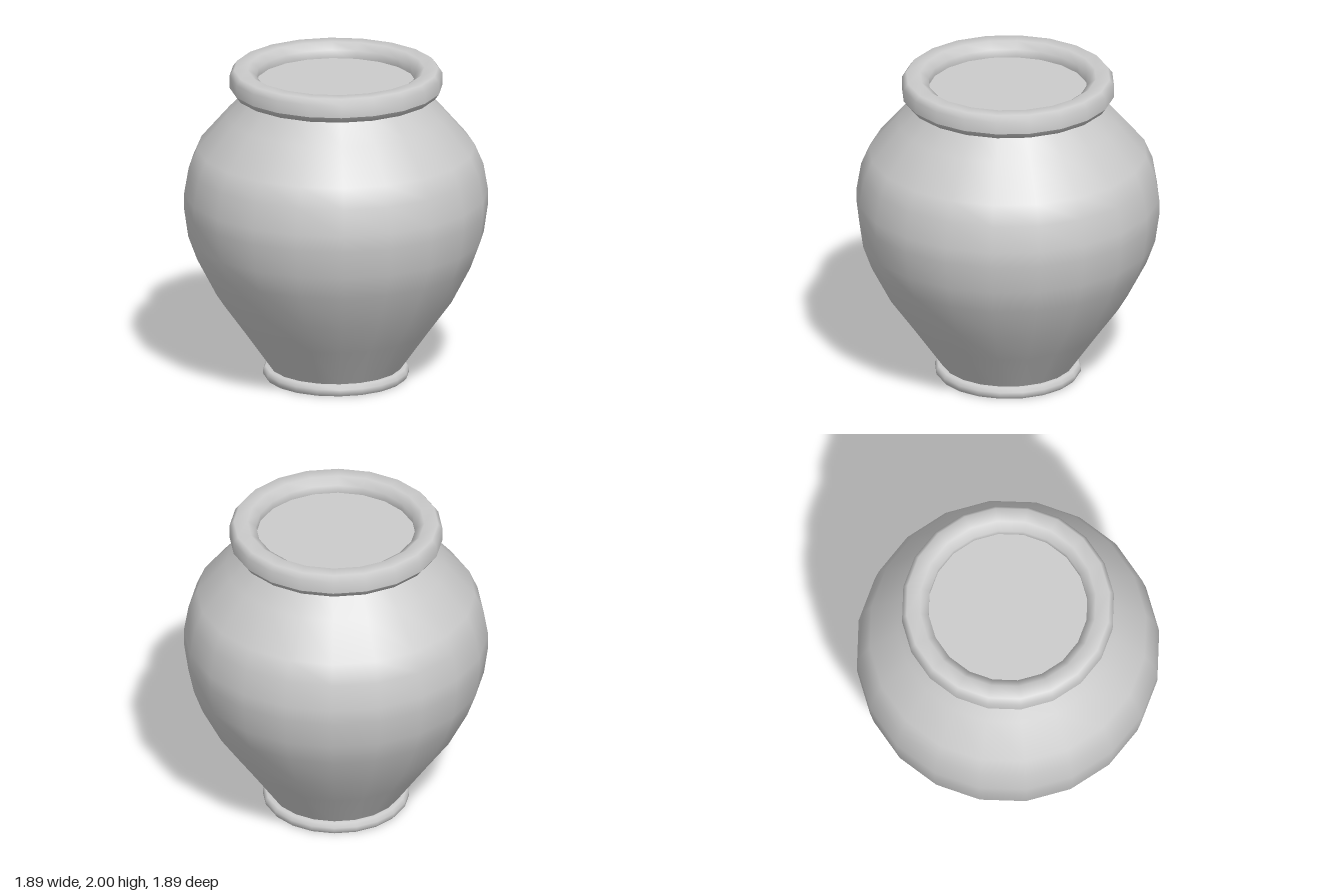
import * as THREE from 'three';

const SIDES = 20;

export function createModel() {
  const group = new THREE.Group();
  const material = new THREE.MeshStandardMaterial({ color: 0xcccccc });

  const add = (name, geometry) => {
    const mesh = new THREE.Mesh(geometry, material);
    mesh.name = name;
    group.add(mesh);
    return mesh;
  };
  // Smooth surface of revolution from [radius, height] pairs
  const turn = (name, profile) =>
    add(name, new THREE.LatheGeometry(profile.map(([r, y]) => new THREE.Vector2(r, y)), SIDES));
  // Flat disc facing up or down, its corners in line with the turned parts
  const disc = (name, radius, y, up) => {
    const mesh = add(name, new THREE.CircleGeometry(radius, SIDES));
    mesh.rotation.x = up ? -Math.PI / 2 : Math.PI / 2;
    mesh.position.y = y;
  };

  // Foot ring with flat underside
  turn('foot', [[0.44, 0], [0.455, 0.02], [0.455, 0.045], [0.44, 0.07], [0.38, 0.07]]);
  disc('footBase', 0.44, 0, false);

  // Swelling body, widest above the middle
  turn('body', [
    [0.405, 0.06], [0.595, 0.33], [0.743, 0.535], [0.865, 0.77], [0.92, 0.92],
    [0.946, 1.1], [0.946, 1.2], [0.918, 1.365], [0.865, 1.49], [0.685, 1.7],
    [0.545, 1.845], [0.51, 1.91],
  ]);

  // Chunky rim around the mouth
  turn('rim', [
    [0.663, 1.885], [0.663, 1.963], [0.635, 2], [0.55, 2], [0.497, 1.963],
    [0.497, 1.885], [0.53, 1.847], [0.635, 1.847], [0.663, 1.885],
  ]);

  // Closed surface just inside the mouth
  disc('mouthSurface', 0.51, 1.91, true);

  return group;
}
